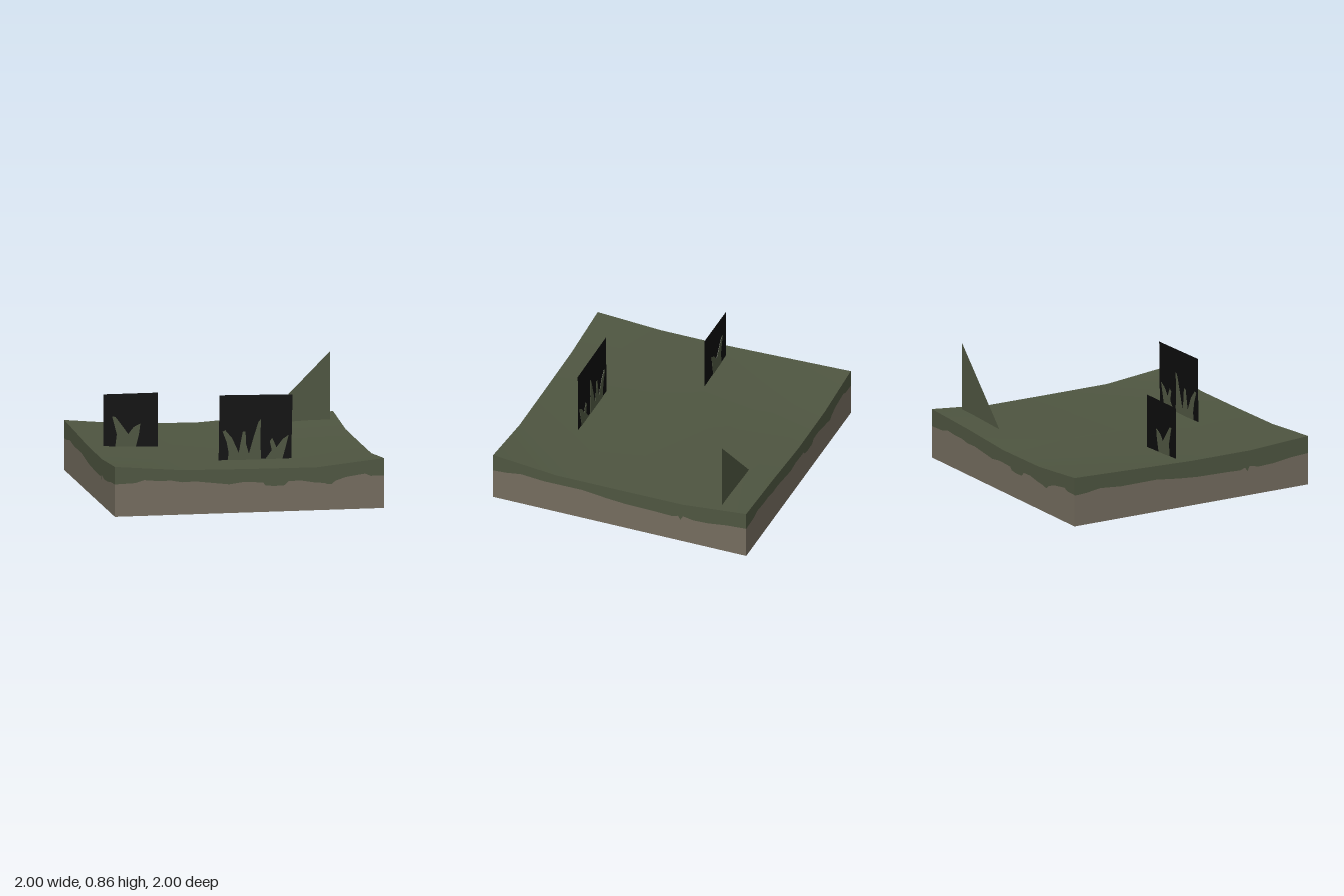
import * as THREE from 'three';

const material = (name, color, side = THREE.FrontSide) => {
  const m = new THREE.MeshStandardMaterial({ color, side });
  m.name = name;
  return m;
};

const mesh = (name, geometry, mat) => {
  const m = new THREE.Mesh(geometry, mat);
  m.name = name;
  return m;
};

const outline = (points) => new THREE.Shape(points.map(([x, y]) => new THREE.Vector2(x, y)));

// Turf heights on a 5 x 5 grid, rows from back to front
const HEIGHTS = [
  [0.37, 0.325, 0.32, 0.35, 0.37],
  [0.355, 0.32, 0.315, 0.32, 0.322],
  [0.34, 0.32, 0.315, 0.315, 0.32],
  [0.34, 0.32, 0.315, 0.315, 0.32],
  [0.37, 0.33, 0.322, 0.318, 0.37],
];

// Ragged lower edges of the turf, left to right along a wall
const EDGE_A = [
  [-1, 0.24], [-0.85, 0.245], [-0.78, 0.265], [-0.68, 0.255], [-0.58, 0.255], [-0.5, 0.24],
  [-0.4, 0.243], [-0.25, 0.225], [-0.15, 0.213], [-0.05, 0.226], [0.1, 0.22], [0.12, 0.197],
  [0.18, 0.19], [0.26, 0.193], [0.29, 0.222], [0.38, 0.225], [0.48, 0.207], [0.56, 0.2],
  [0.58, 0.19], [0.61, 0.19], [0.64, 0.215], [0.72, 0.24], [0.86, 0.26], [0.9, 0.242], [1, 0.24],
];
const EDGE_B = [
  [-1, 0.235], [-0.9, 0.24], [-0.78, 0.258], [-0.6, 0.243], [-0.3, 0.245], [-0.1, 0.222],
  [0.05, 0.21], [0.3, 0.205], [0.42, 0.2], [0.46, 0.215], [0.48, 0.185], [0.5, 0.22],
  [0.58, 0.205], [0.7, 0.21], [0.85, 0.23], [1, 0.24],
];

// Grass tuft silhouettes
const SMALL_TUFT = [
  [-0.8, 0.3], [-0.785, 0.42], [-0.82, 0.555], [-0.795, 0.55], [-0.75, 0.49], [-0.7, 0.42],
  [-0.66, 0.47], [-0.61, 0.495], [-0.62, 0.42], [-0.65, 0.3],
];
const LARGE_TUFT = [
  [-0.085, 0.3], [-0.075, 0.37], [-0.09, 0.45], [-0.12, 0.53], [-0.1, 0.54], [-0.05, 0.48], [0, 0.37],
  [0.015, 0.45], [0.03, 0.525], [0.05, 0.525], [0.055, 0.43], [0.075, 0.36], [0.11, 0.48],
  [0.145, 0.59], [0.165, 0.615], [0.16, 0.47], [0.165, 0.32], [0.2, 0.32], [0.245, 0.38],
  [0.23, 0.45], [0.25, 0.47], [0.28, 0.4], [0.325, 0.46], [0.37, 0.49], [0.35, 0.41], [0.32, 0.3],
];

export function createModel() {
  const model = new THREE.Group();
  model.name = 'grassyGroundBlock';
  const grass = material('mossGreen', 0x4f5641, THREE.DoubleSide);
  const soil = material('earthBrown', 0x756d5f);
  const black = material('cardBlack', 0x0c0c0c, THREE.DoubleSide);

  // Gently dished turf surface
  const top = new THREE.PlaneGeometry(2, 2, 4, 4).rotateX(-Math.PI / 2);
  HEIGHTS.flat().forEach((h, i) => top.attributes.position.setY(i, h));
  top.computeVertexNormals();
  model.add(mesh('turfTop', top, grass));

  // Four walls: ragged turf band over bare soil
  const rims = [
    HEIGHTS[4],
    HEIGHTS.map((row) => row[4]).reverse(),
    [...HEIGHTS[0]].reverse(),
    HEIGHTS.map((row) => row[0]),
  ];
  ['front', 'left', 'back', 'right'].forEach((side, k) => {
    const edge = k % 2 ? EDGE_B : EDGE_A;
    const rim = rims[k].map((h, i) => [-1 + i / 2, h]).reverse();
    const wall = new THREE.Group();
    wall.name = side + 'Wall';
    const soilShape = outline([[-1, 0], [1, 0], ...[...edge].reverse()]);
    wall.add(mesh('soilBand', new THREE.ShapeGeometry(soilShape).translate(0, 0, 1), soil));
    wall.add(mesh('turfBand', new THREE.ShapeGeometry(outline([...edge, ...rim])).translate(0, 0, 1), grass));
    wall.rotation.y = k * Math.PI / 2;
    model.add(wall);
  });

  // Underside
  model.add(mesh('soilBase', new THREE.PlaneGeometry(2, 2).rotateX(Math.PI / 2), soil));

  // Upright cards with a grass tuft showing on both faces
  const addCard = (name, corners, tuft, z) => {
    const card = new THREE.Group();
    card.name = name;
    card.add(mesh('backing', new THREE.ShapeGeometry(outline(corners)), black));
    const blades = new THREE.ExtrudeGeometry(outline(tuft), { depth: 0.006, bevelEnabled: false });
    card.add(mesh('grassBlades', blades.translate(0, 0, -0.003), grass));
    card.position.z = z;
    model.add(card);
  };
  addCard('smallGrassCard', [[-0.885, 0.3], [-0.48, 0.3], [-0.48, 0.72], [-0.885, 0.72]], SMALL_TUFT, -0.06);
  addCard('largeGrassCard', [[-0.15, 0.3], [0.39, 0.3], [0.4, 0.79], [-0.142, 0.8]], LARGE_TUFT, 0.58);

  // Plain triangular card in the back corner
  const fin = mesh('triangularCard', new THREE.ShapeGeometry(outline([[0.4, 0.32], [0.935, 0.32], [0.935, 0.855]])), grass);
  fin.position.z = -0.78;
  model.add(fin);

  return model;
}
